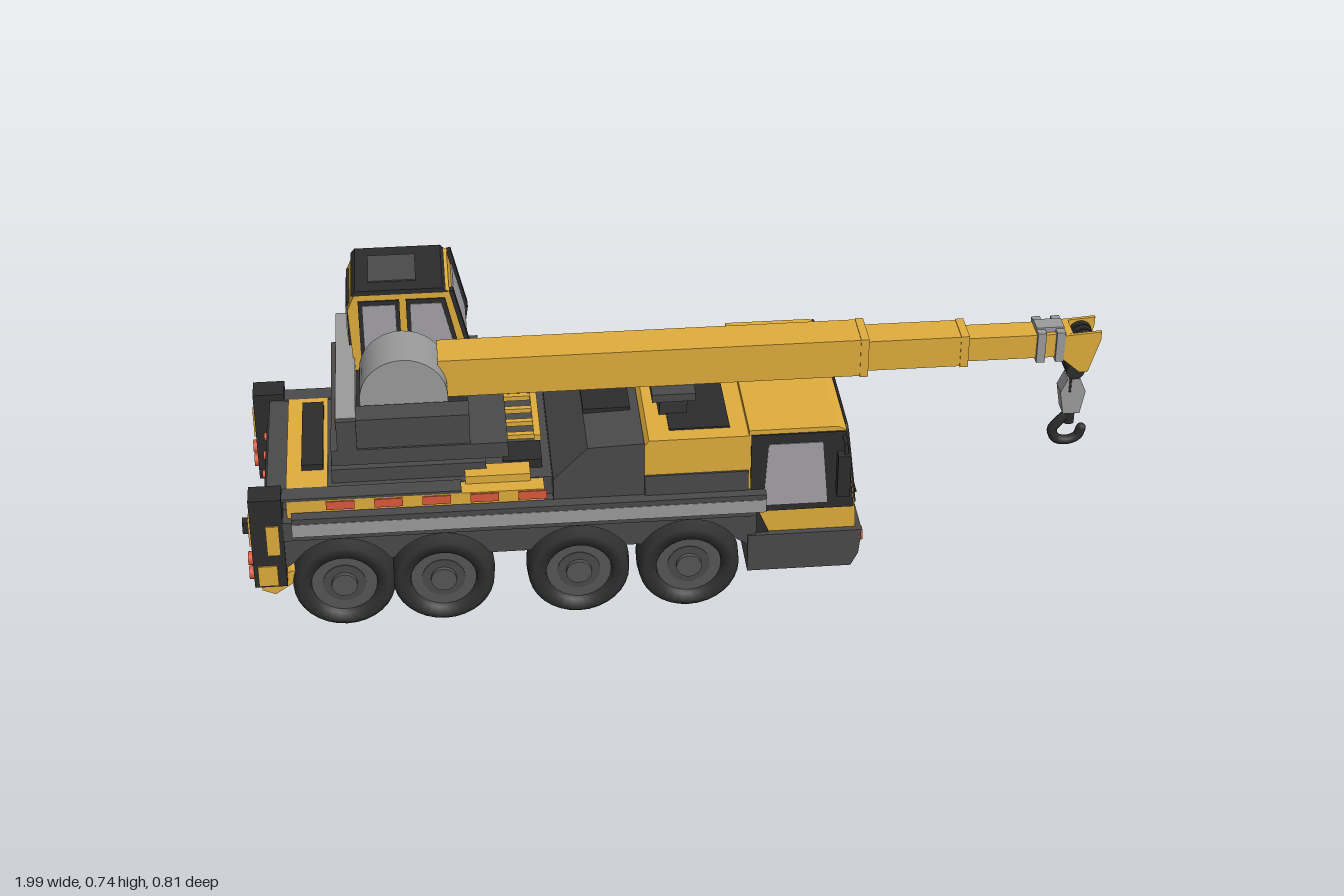
import * as THREE from 'three';

const mat = (name, color) => {
  const m = new THREE.MeshStandardMaterial({ color });
  m.name = name;
  return m;
};

export function createModel() {
  const yellow = mat('yellow paint', 0xe0ad3c), dark = mat('dark grey', 0x4a4a4a), black = mat('black', 0x2c2c2c);
  const grey = mat('light grey', 0x9b9b9b), glass = mat('glass', 0xa4a2a6), red = mat('signal red', 0xd9593b);
  const rubber = mat('rubber', 0x303030), rim = mat('rim grey', 0x565656);

  const model = new THREE.Group();
  model.name = 'mobileCrane';
  const crane = new THREE.Group();
  crane.name = 'crane';
  crane.rotation.y = -0.2;
  crane.position.set(-0.005, 0, 0.037);
  model.add(crane);

  const add = (name, geo, m) => {
    const mesh = new THREE.Mesh(geo, m);
    mesh.name = name;
    crane.add(mesh);
    return mesh;
  };
  const box = (name, m, x0, x1, y0, y1, z0, z1) =>
    add(name, new THREE.BoxGeometry(x1 - x0, y1 - y0, z1 - z0), m)
      .position.set((x0 + x1) / 2, (y0 + y1) / 2, (z0 + z1) / 2);
  // side outline (x, y) pushed from z0 to z1
  const prism = (name, m, pts, z0, z1) => {
    const shape = new THREE.Shape(pts.map(p => new THREE.Vector2(...p)));
    const geo = new THREE.ExtrudeGeometry(shape, { depth: z1 - z0, bevelEnabled: false });
    return add(name, geo.translate(0, 0, z0), m);
  };
  // sloped plate standing on a line from a to b, thickened to its right
  const sheet = (name, m, a, b, z0, z1, t) => {
    const dx = b[0] - a[0], dy = b[1] - a[1], l = Math.hypot(dx, dy), nx = dy / l * t, ny = -dx / l * t;
    prism(name, m, [a, b, [b[0] + nx, b[1] + ny], [a[0] + nx, a[1] + ny]], z0, z1);
  };
  // sloped pane with rounded corners, centred on z, standing on a line from a to b
  const pane = (name, m, a, b, w, r, t) => {
    const h = Math.hypot(b[0] - a[0], b[1] - a[1]);
    const s = new THREE.Shape().absarc(w - r, r, r, -Math.PI / 2, 0).absarc(w - r, h - r, r, 0, Math.PI / 2)
      .absarc(r - w, h - r, r, Math.PI / 2, Math.PI).absarc(r - w, r, r, Math.PI, Math.PI * 1.5);
    const geo = new THREE.ExtrudeGeometry(s, { depth: t, bevelEnabled: false, curveSegments: 5 }).rotateY(Math.PI / 2);
    add(name, geo.rotateZ(Math.atan2(a[0] - b[0], b[1] - a[1])), m).position.set(a[0], a[1], 0);
  };
  // cylinder lying along z
  const drum = (name, m, r, x, y, z0, z1, seg = 24) =>
    add(name, new THREE.CylinderGeometry(r, r, z1 - z0, seg).rotateX(Math.PI / 2), m).position.set(x, y, (z0 + z1) / 2);
  // disc facing along x
  const lamp = (name, m, r, x, y, z) =>
    add(name, new THREE.CylinderGeometry(r, r, 0.012, 16).rotateZ(Math.PI / 2), m).position.set(x, y, z);
  const rod = (name, m, r, a, b) =>
    add(name, new THREE.TubeGeometry(new THREE.LineCurve3(new THREE.Vector3(...a), new THREE.Vector3(...b)), 1, r, 8), m);
  const lerp = (a, b, t) => [a[0] + (b[0] - a[0]) * t, a[1] + (b[1] - a[1]) * t];

  // Wheels and axles
  const axles = [-0.74, -0.51, -0.195, 0.063];
  const tyre = [[0.07, -0.05], [0.105, -0.05], [0.118, -0.038], [0.121, 0], [0.118, 0.038], [0.105, 0.05], [0.078, 0.05], [0.072, 0.01]]
    .map(p => new THREE.Vector2(...p));
  for (const x of axles) {
    drum('axle', black, 0.018, x, 0.121, -0.2, 0.2, 12);
    for (const s of [-1, 1]) {
      const t = add('tyre', new THREE.LatheGeometry(tyre, 32).rotateX(Math.PI / 2 * s), rubber);
      t.position.set(x, 0.121, s * 0.205);
      drum('wheelInner', rubber, 0.074, x, 0.121, s * 0.185 - 0.031, s * 0.185 + 0.031);
      drum('rim', rim, 0.076, x, 0.121, s * 0.227 - 0.015, s * 0.227 + 0.015);
      drum('hub', dark, 0.05, x, 0.121, s * 0.236 - 0.008, s * 0.236 + 0.008);
      drum('hubCap', rim, 0.03, x, 0.121, s * 0.24 - 0.014, s * 0.24 + 0.014, 16);
    }
  }

  // Chassis frame, skirts with wheel arches, side rails
  box('frame', black, -0.88, 0.22, 0.15, 0.29, -0.14, 0.14);
  box('chassisDeck', dark, -0.88, 0.22, 0.255, 0.305, -0.255, 0.255);
  const archR = 0.13, archA = Math.asin(0.069 / archR);
  const skirt = new THREE.Shape();
  skirt.moveTo(-0.88, 0.29).lineTo(-0.88, 0.17);
  for (const x of axles) {
    skirt.lineTo(x - 0.112, 0.19);
    skirt.absarc(x, 0.121, archR, Math.PI - archA, archA, true);
  }
  skirt.lineTo(0.22, 0.16).lineTo(0.22, 0.29);
  for (const s of [-1, 1]) {
    const geo = new THREE.ExtrudeGeometry(skirt, { depth: 0.05, bevelEnabled: false, curveSegments: 14 });
    add('wheelArches', geo.translate(0, 0, s > 0 ? 0.2 : -0.25), dark);
    box('sideRail', grey, -0.85, 0.24, 0.274, 0.308, s * 0.262 - 0.007, s * 0.262 + 0.007);
    box('railLip', dark, -0.85, 0.24, 0.308, 0.322, s * 0.254 - 0.014, s * 0.254 + 0.014);
    // yellow locker strip with red markings and a dark tread on top
    box('lockerStrip', yellow, -0.86, -0.27, 0.305, 0.35, s * 0.213 - 0.023, s * 0.213 + 0.023);
    box('lockerTread', dark, -0.87, -0.46, 0.35, 0.357, s * 0.213 - 0.023, s * 0.213 + 0.023);
    for (let i = 0; i < 5; i++)
      box('sideMarking', red, -0.77 + i * 0.11, -0.705 + i * 0.11, 0.325, 0.347, s * 0.236 - 0.003, s * 0.236 + 0.003);
  }

  // Rear deck
  box('deckMiddle', dark, -0.88, -0.25, 0.305, 0.352, -0.19, 0.19);
  box('deckRear', yellow, -0.86, -0.765, 0.35, 0.357, -0.19, 0.19);
  box('deckRearInset', black, -0.825, -0.775, 0.355, 0.372, -0.15, 0.12);
  box('deckPlate', dark, -0.755, -0.4, 0.352, 0.388, -0.17, 0.17);
  box('deckLocker', black, -0.36, -0.27, 0.352, 0.375, 0.07, 0.15);
  // ladder lying across the deck
  for (const x of [-0.375, -0.275]) box('ladderRail', yellow, x - 0.008, x + 0.008, 0.36, 0.376, -0.2, 0.05);
  for (let i = 0; i < 5; i++) box('ladderRung', yellow, -0.375, -0.275, 0.362, 0.374, -0.196 + i * 0.056, -0.182 + i * 0.056);
  box('deckStep', yellow, -0.45, -0.3, 0.35, 0.37, 0.15, 0.2);

  // Rear end with outrigger columns and lamps
  box('rearPanel', dark, -0.905, -0.86, 0.13, 0.352, -0.2, 0.2);
  box('rearRecess', black, -0.912, -0.905, 0.17, 0.33, -0.15, 0.15);
  box('rearBumper', dark, -0.93, -0.87, 0.125, 0.16, -0.2, 0.2);
  prism('rearUnderrun', yellow, [[-0.93, 0.11], [-0.93, 0.125], [-0.86, 0.16], [-0.83, 0.16], [-0.83, 0.145], [-0.9, 0.097]], -0.24, 0.24);
  box('towHitch', black, -0.975, -0.9, 0.17, 0.2, 0.07, 0.095);
  for (const s of [-1, 1]) {
    const bar = (name, m, x0, x1, y0, y1, a, b) => box(name, m, x0, x1, y0, y1, Math.min(s * a, s * b), Math.max(s * a, s * b));
    bar('outriggerColumn', black, -0.945, -0.87, 0.13, 0.37, 0.195, 0.256);
    bar('columnStripeLow', yellow, -0.935, -0.89, 0.135, 0.19, 0.256, 0.26);
    bar('columnStripeHigh', yellow, -0.91, -0.88, 0.22, 0.3, 0.256, 0.26);
    bar('rearStripe', yellow, -0.95, -0.945, 0.24, 0.31, 0.215, 0.245);
    for (const y of [0.16, 0.2]) lamp('rearLamp', red, 0.016, -0.95, y, s * 0.235);
    for (const z of [0.04, 0.12]) lamp('reflector', red, 0.01, -0.914, 0.3, s * z);
    lamp('towEye', dark, 0.03, -0.916, 0.2, s * 0.11);
  }

  // Engine cover: dark sloped rear, yellow front
  prism('engineRear', dark, [[-0.25, 0.3], [-0.25, 0.375], [-0.17, 0.455], [-0.04, 0.46], [-0.04, 0.3]], -0.237, 0.237);
  box('engineBase', dark, -0.04, 0.2, 0.3, 0.375, -0.245, 0.245);
  prism('engineCover', yellow, [[-0.04, 0.375], [-0.04, 0.455], [-0.03, 0.468], [0.2, 0.468], [0.2, 0.375]], -0.24, 0.24);
  box('engineGrille', black, -0.17, -0.06, 0.455, 0.467, -0.09, 0.09);
  box('coverGrille', black, 0.02, 0.16, 0.465, 0.472, -0.2, 0.2);
  // boom rest: flared post with a cradle, outlined across the vehicle
  const rest = prism('restPost', dark, [[-0.13, 0.465], [0.03, 0.465], [0.03, 0.49], [0.035, 0.52], [0.035, 0.565], [-0.015, 0.565],
    [-0.03, 0.539], [-0.16, 0.539], [-0.16, 0.525]], -0.032, 0.032);
  rest.rotation.y = Math.PI / 2;
  rest.position.x = 0.035;
  box('restCradle', dark, -0.015, 0.085, 0.52, 0.54, -0.03, 0.16);
  box('restSide', dark, -0.015, 0.085, 0.53, 0.56, -0.03, 0.015);

  // Driver's cab
  const low = [0.452, 0.25], high = [0.425, 0.47];
  prism('cabBody', yellow, [[0.2, 0.2], [0.455, 0.2], low, high, [0.405, 0.482], [0.2, 0.482]], -0.24, 0.24);
  pane('windscreenFrame', black, low, lerp(low, high, 1.02), 0.226, 0.02, 0.005);
  pane('windscreen', glass, lerp(low, high, 0.1), lerp(low, high, 0.95), 0.208, 0.014, 0.008);
  for (const z of [-0.12, 0, 0.12]) {
    sheet('wiper', black, lerp(low, high, -0.06), lerp(low, high, 0.08), z - 0.007, z + 0.007, 0.012);
    sheet('wiperBlade', black, lerp(low, high, 0.115), lerp(low, high, 0.135), z + 0.01, z + 0.09, 0.011);
  }
  prism('bumper', dark, [[0.2, 0.1], [0.445, 0.1], [0.462, 0.135], [0.468, 0.2], [0.2, 0.2]], -0.255, 0.255);
  box('towBar', black, 0.46, 0.476, 0.165, 0.182, -0.04, 0.04);
  for (const s of [-1, 1]) {
    const z0 = s > 0 ? 0.24 : -0.244;
    prism('doorFrame', black, [[0.205, 0.26], [0.448, 0.26], [0.424, 0.47], [0.205, 0.47]], z0, z0 + 0.004);
    prism('sideWindow', glass, [[0.235, 0.278], [0.385, 0.278], [0.37, 0.445], [0.245, 0.445]], z0 - 0.002, z0 + 0.006);
    prism('doorEdge', black, [[0.2, 0.2], [0.25, 0.2], [0.225, 0.26], [0.2, 0.26]], z0, z0 + 0.004);
    lamp('indicator', red, 0.017, 0.468, 0.168, s * 0.222);
    for (const z of [0.178, 0.138]) lamp('headlamp', grey, 0.013, 0.467, 0.168, s * z);
    // mirrors on arms
    box('mirror', black, 0.4, 0.43, 0.32, 0.43, s * 0.276 - 0.013, s * 0.276 + 0.013);
    rod('mirrorArm', black, 0.005, [0.42, 0.455, s * 0.23], [0.42, 0.455, s * 0.275]);
    rod('mirrorStay', black, 0.005, [0.42, 0.455, s * 0.273], [0.42, 0.42, s * 0.276]);
  }

  // Turntable and counterweight
  add('turntableBase', new THREE.CylinderGeometry(0.13, 0.13, 0.03, 32), grey).position.set(-0.59, 0.4, 0);
  add('turntable', new THREE.CylinderGeometry(0.15, 0.15, 0.033, 32), yellow).position.set(-0.59, 0.425, 0);
  box('slewPlatform', dark, -0.75, -0.4, 0.442, 0.482, -0.24, 0);
  box('slewPlatformRight', dark, -0.75, -0.35, 0.442, 0.482, 0, 0.235);
  box('counterweight', grey, -0.735, -0.69, 0.475, 0.562, -0.24, 0.225);
  for (const z of [-0.17, 0.03]) box('counterweightStripe', red, -0.739, -0.735, 0.495, 0.515, z, z + 0.14);
  box('counterweightEnd', dark, -0.735, -0.69, 0.475, 0.56, 0.225, 0.237);
  box('machineHousing', dark, -0.69, -0.435, 0.48, 0.558, 0.17, 0.23);
  box('winchBed', black, -0.7, -0.435, 0.48, 0.53, -0.03, 0.17);
  box('winchBase', grey, -0.68, -0.48, 0.525, 0.56, 0.02, 0.16);
  drum('winchHousing', grey, 0.1, -0.58, 0.567, 0.03, 0.16, 32);

  // Operator's cab
  const cf = [[-0.445, 0.482], [-0.43, 0.58], [-0.465, 0.73]];
  prism('operatorCab', yellow, [[-0.69, 0.482], ...cf, [-0.48, 0.735], [-0.68, 0.735], [-0.7, 0.69]], -0.23, -0.032);
  prism('operatorRoof', black, [[-0.69, 0.728], [-0.468, 0.728], [-0.48, 0.74], [-0.68, 0.74]], -0.232, -0.03);
  box('roofHatch', dark, -0.65, -0.54, 0.737, 0.743, -0.19, -0.07);
  sheet('operatorWindscreen', glass, lerp(cf[1], cf[2], 0.02), lerp(cf[1], cf[2], 0.8), -0.208, -0.052, 0.004);
  for (const z of [-0.234, -0.048]) {
    sheet('frontPostLow', black, cf[0], cf[1], z, z + 0.02, 0.01);
    sheet('frontPostHigh', black, cf[1], cf[2], z, z + 0.02, 0.01);
  }
  for (const z of [-0.233, -0.033]) {
    prism('cabDoorFrame', black, [[-0.565, 0.57], [-0.445, 0.57], [-0.475, 0.713], [-0.565, 0.713]], z, z + 0.004);
    prism('cabDoorWindow', glass, [[-0.555, 0.582], [-0.457, 0.582], [-0.484, 0.702], [-0.555, 0.702]], z - 0.002, z + 0.006);
    box('cabRearFrame', black, -0.675, -0.58, 0.57, 0.713, z, z + 0.004);
    box('cabRearWindow', glass, -0.665, -0.59, 0.582, 0.702, z - 0.002, z + 0.006);
  }
  box('cabBackFrame', black, -0.702, -0.69, 0.585, 0.7, -0.21, -0.052);
  box('cabBackWindow', glass, -0.705, -0.69, 0.6, 0.685, -0.195, -0.067);

  // Telescopic boom
  const bz = 0.076;
  const boom = [[-0.5, 0.485, 0.541, 0.637, 0.047], [0.48, 0.72, 0.549, 0.627, 0.039], [0.715, 0.97, 0.556, 0.617, 0.031]];
  for (const [x0, x1, y0, y1, h] of boom) {
    box('boomSection', yellow, x0, x1, y0, y1, bz - h, bz + h);
    if (x1 < 0.9) box('boomCollar', yellow, x1 - 0.015, x1 + 0.004, y0 - 0.002, y1 + 0.002, bz - h - 0.002, bz + h + 0.002);
  }
  for (const x of [0.885, 0.93]) box('headCollar', grey, x, x + 0.02, 0.548, 0.626, bz - 0.04, bz + 0.04);
  box('collarTop', grey, 0.885, 0.95, 0.617, 0.63, bz - 0.02, bz + 0.02);
  for (const s of [-1, 1])
    prism('headPlate', yellow, [[0.94, 0.615], [1.035, 0.622], [1.035, 0.6], [1.01, 0.515], [0.99, 0.515], [0.94, 0.56]],
      bz + s * 0.034 - 0.004, bz + s * 0.034 + 0.004);
  for (let i = 0; i < 3; i++) {
    const z = bz - 0.02 + i * 0.02;
    drum('headPulley', black, 0.026, 1.0, 0.59, z - 0.007, z + 0.007);
    drum('pulleyHub', grey, 0.019, 1.0, 0.59, z - 0.009, z + 0.009, 16);
    drum('lowerPulley', black, 0.022, 0.985, 0.51, z - 0.006, z + 0.006);
    rod('hoistRope', black, 0.003, [0.977, 0.6, z], [0.977, 0.45, z]);
  }

  // Hook block
  prism('hookBlock', grey, [[0.955, 0.45], [0.97, 0.485], [1.0, 0.485], [1.015, 0.45], [1.005, 0.39], [0.965, 0.39]], bz - 0.021, bz + 0.021);
  add('hookShank', new THREE.CylinderGeometry(0.014, 0.014, 0.05, 12), black).position.set(0.985, 0.38, bz);
  const hook = new THREE.CatmullRomCurve3([[0.985, 0.38], [0.965, 0.36], [0.948, 0.335], [0.958, 0.31], [0.985, 0.303], [1.01, 0.313], [1.018, 0.335]]
    .map(p => new THREE.Vector3(...p, bz)));
  add('hook', new THREE.TubeGeometry(hook, 24, 0.012, 10), black);
  add('hookTip', new THREE.SphereGeometry(0.012, 10, 8), black).position.set(1.018, 0.335, bz);

  return model;
}
